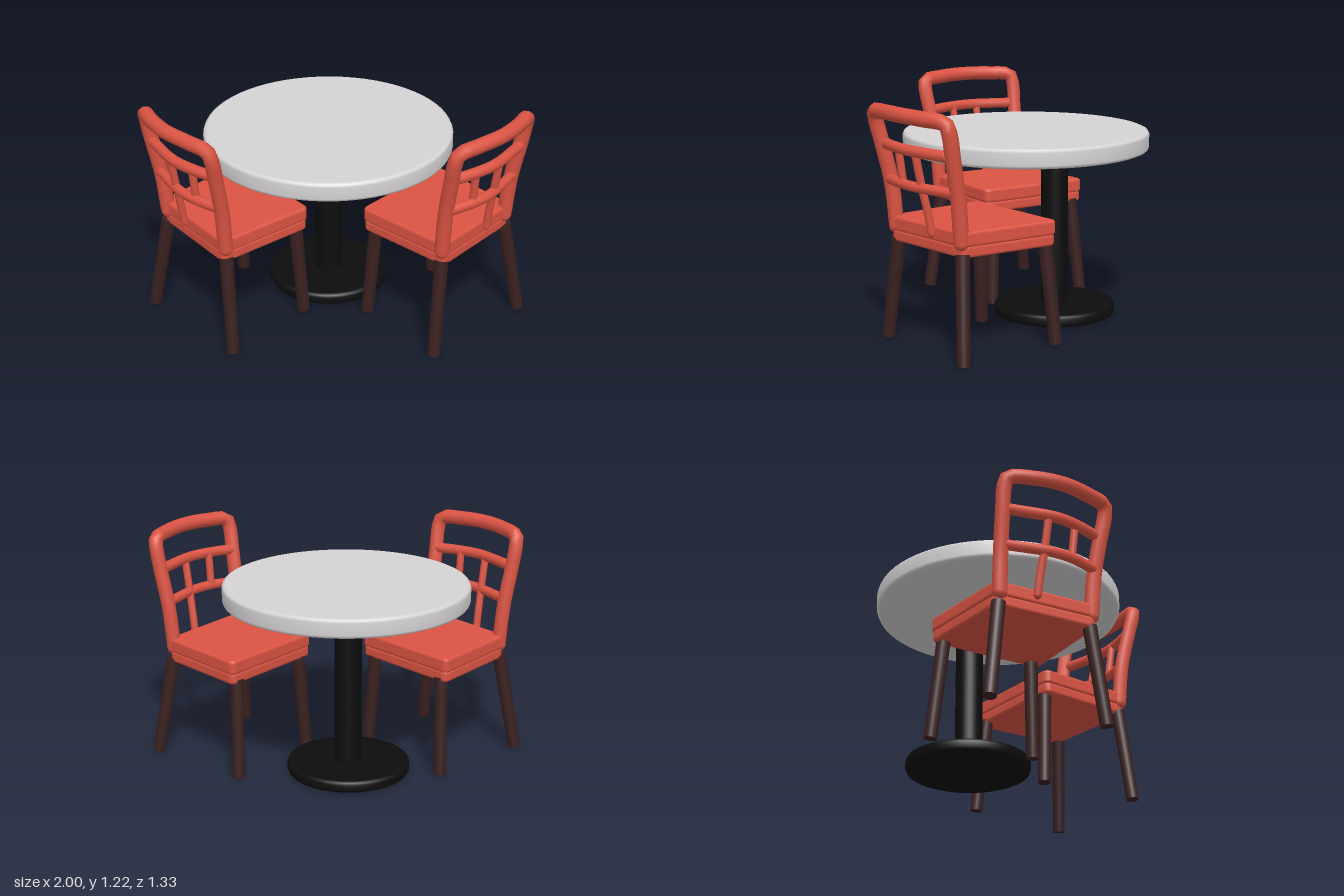
import * as THREE from 'three';

const material = (name, color) => {
  const m = new THREE.MeshStandardMaterial({ color });
  m.name = name;
  return m;
};

export function createModel() {
  const red = material('chairRed', 0xdb5443);
  const brown = material('legBrown', 0x3a2020);
  const grey = material('tableGrey', 0xd6d3d4);
  const black = material('pedestalBlack', 0x0d0d0d);

  const model = new THREE.Group();
  model.name = 'tableWithTwoChairs';

  const add = (parent, name, geometry, mat) => {
    const mesh = new THREE.Mesh(geometry, mat);
    mesh.name = name;
    parent.add(mesh);
    return mesh;
  };

  // Round disc with softened edges
  const disc = (r, y0, y1, e) => new THREE.LatheGeometry([
    [0, y0], [r - e - 0.004, y0], [r - e, y0], [r - e * 0.3, y0 + e * 0.3],
    [r, y0 + e], [r, y1 - e], [r - e * 0.3, y1 - e * 0.3],
    [r - e, y1], [r - e - 0.004, y1], [0, y1],
  ].map(([x, y]) => new THREE.Vector2(x, y)), 64);

  // Table
  const table = new THREE.Group();
  table.name = 'table';
  model.add(table);
  add(table, 'tableTop', disc(0.643, 0.888, 0.987, 0.018), grey).position.set(-0.043, 0, -0.028);
  add(table, 'tableBase', disc(0.32, 0.004, 0.066, 0.018), black).position.set(-0.05, 0, -0.18);
  add(table, 'tablePost', new THREE.CylinderGeometry(0.071, 0.071, 0.84, 32), black)
    .position.set(-0.047, 0.475, -0.18);

  // One chair; side = 1 for the left one, -1 for its mirror image
  function chair(side) {
    const group = new THREE.Group();
    group.name = side > 0 ? 'leftChair' : 'rightChair';
    const point = ([x, y, z]) => new THREE.Vector3(side * x, y, z);

    // Tapered round bar from one point to another
    const bar = (name, a, b, ra, rb, mat) => {
      const p = point(a), q = point(b), d = q.clone().sub(p);
      const mesh = add(group, name, new THREE.CylinderGeometry(rb, ra, d.length(), 14), mat);
      mesh.position.copy(p).add(q).multiplyScalar(0.5);
      mesh.quaternion.setFromUnitVectors(new THREE.Vector3(0, 1, 0), d.normalize());
    };

    // Bent bar with closed ends
    const bent = (name, pts, r) => {
      const curve = new THREE.CatmullRomCurve3(pts.map(point), false, 'centripetal');
      add(group, name, new THREE.TubeGeometry(curve, 48, r, 10), red);
      for (const t of [0, 1]) {
        const cap = add(group, name + 'End', new THREE.SphereGeometry(r, 10, 8), red);
        cap.position.copy(curve.getPoint(t));
      }
    };

    // Seat: two stacked slabs with rounded corners
    const corners = [[0.545, 0.57], [0.9, 0.13], [0.545, -0.272], [0.135, 0.2]]
      .map(([x, z]) => new THREE.Vector2(side * x, -z));
    const slab = (name, y0, y1, inset) => {
      const bevel = 0.014, shape = new THREE.Shape();
      const mid = new THREE.Vector2(side * 0.53, -0.16);
      const pts = corners.map(c => c.clone().lerp(mid, (inset + bevel * 1.4) / c.distanceTo(mid)));
      pts.forEach((c, i) => {
        const a = c.clone().lerp(pts[(i + 3) % 4], 0.04);
        const b = c.clone().lerp(pts[(i + 1) % 4], 0.04);
        if (i) shape.lineTo(a.x, a.y); else shape.moveTo(a.x, a.y);
        shape.quadraticCurveTo(c.x, c.y, b.x, b.y);
      });
      shape.closePath();
      const geo = new THREE.ExtrudeGeometry(shape, {
        depth: y1 - y0 - 2 * bevel, bevelSize: bevel, bevelThickness: bevel, bevelSegments: 3, curveSegments: 5,
      });
      geo.rotateX(-Math.PI / 2).translate(0, y0 + bevel, 0);
      add(group, name, geo, red);
    };
    slab('seatBase', 0.508, 0.568, 0.006);
    slab('seatCushion', 0.562, 0.637, 0);

    // Legs, splayed outward
    [
      ['backLeg', [0.51, 0.004, 0.592], [0.535, 0.525, 0.525]],
      ['backLeg', [0.968, 0.004, 0.12], [0.87, 0.525, 0.14]],
      ['frontLeg', [0.17, 0.004, 0.175], [0.21, 0.525, 0.175]],
      ['frontLeg', [0.525, 0.004, -0.262], [0.525, 0.525, -0.205]],
    ].forEach(([name, foot, top]) => bar(name, foot, top, 0.033, 0.036, brown));

    // Backrest: arched frame leaning and bowed outward
    bent('backFrame', [
      [0.535, 0.58, 0.535], [0.545, 0.8, 0.555], [0.565, 1.0, 0.595], [0.577, 1.11, 0.62],
      [0.595, 1.158, 0.622], [0.69, 1.172, 0.555], [0.81, 1.176, 0.45], [0.9, 1.172, 0.315],
      [0.948, 1.158, 0.2], [0.945, 1.11, 0.182], [0.927, 1.0, 0.172], [0.89, 0.8, 0.155], [0.868, 0.58, 0.145],
    ], 0.038);
    bent('upperRail', [[0.575, 1.0, 0.575], [0.69, 1.003, 0.5], [0.785, 1.004, 0.415], [0.915, 1.0, 0.205]], 0.028);
    bent('lowerRail', [[0.575, 0.822, 0.55], [0.68, 0.825, 0.48], [0.765, 0.825, 0.395], [0.89, 0.822, 0.18]], 0.026);

    // Spindles
    bent('longSpindle', [[0.765, 0.6, 0.31], [0.775, 0.7, 0.325], [0.79, 0.83, 0.35], [0.81, 0.99, 0.375]], 0.02);
    bar('shortSpindle', [0.68, 0.825, 0.465], [0.69, 1.0, 0.485], 0.02, 0.02, red);

    return group;
  }

  model.add(chair(1), chair(-1));
  return model;
}
